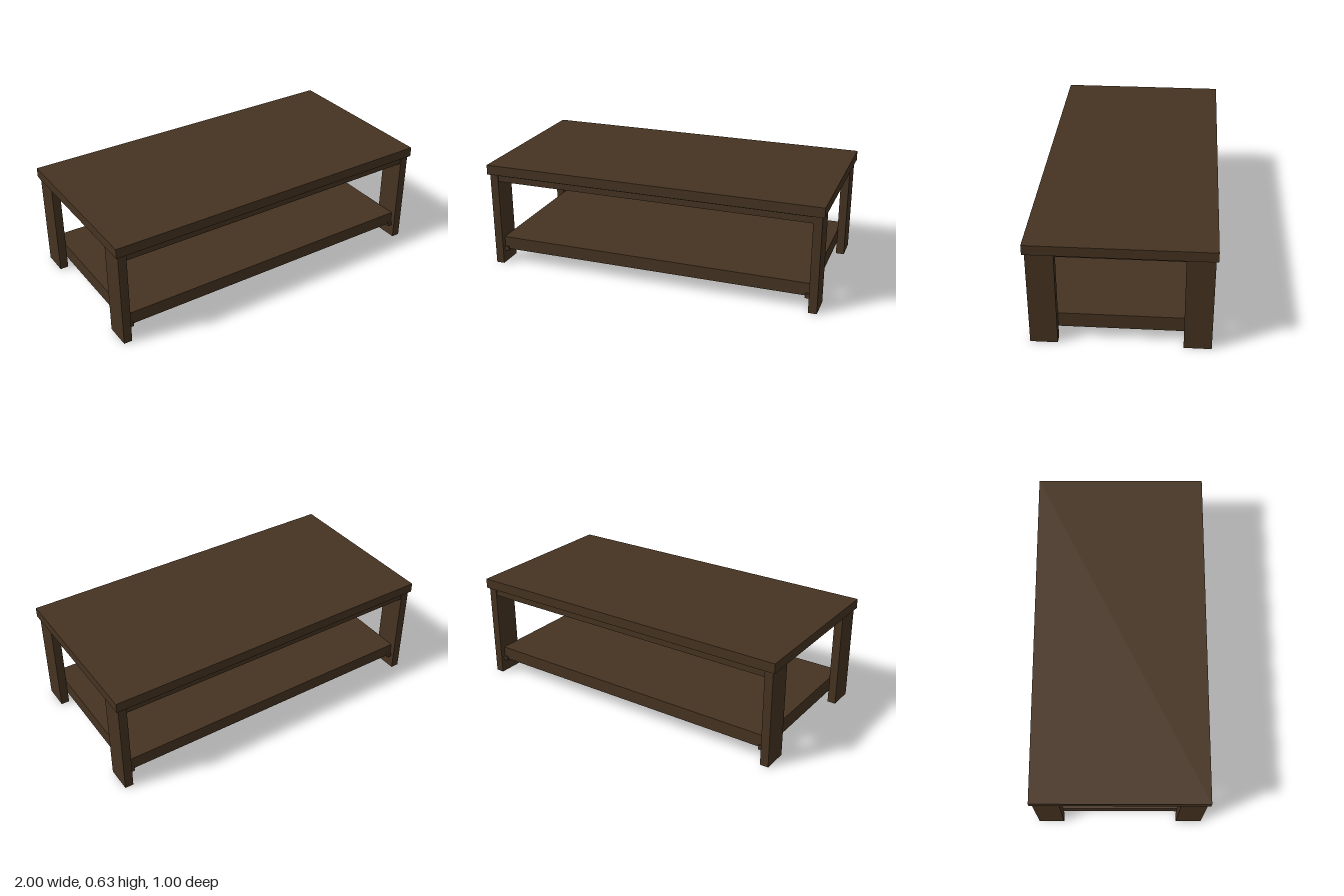
import * as THREE from 'three';

export function createModel() {
  const table = new THREE.Group();
  table.name = 'coffeeTable';
  const darkWood = new THREE.MeshStandardMaterial({ color: 0x453321 });
  darkWood.name = 'darkWood';

  // Box given by its minimum and maximum corners
  function board(name, min, max) {
    const size = max.map((v, i) => v - min[i]);
    const mesh = new THREE.Mesh(new THREE.BoxGeometry(...size), darkWood);
    mesh.position.set(...max.map((v, i) => (v + min[i]) / 2));
    mesh.name = name;
    table.add(mesh);
  }

  // Same board mirrored across x = 0
  function mirroredPair(name, min, max) {
    board(name, min, max);
    board(name, [-max[0], min[1], min[2]], [-min[0], max[1], max[2]]);
  }

  // Thick top with a thin stepped lip beneath it
  board('tableTop', [-1, 0.57, -0.5], [1, 0.627, 0.5]);
  board('topLip', [-0.99, 0.566, -0.493], [0.99, 0.57, 0.493]);

  // Solid panel between the legs, under the top
  board('underPanel', [-0.942, 0.526, -0.482], [0.942, 0.566, 0.482]);

  // Four flat legs, broad side outwards
  mirroredPair('frontLeg', [0.938, 0, 0.338], [0.987, 0.566, 0.488]);
  mirroredPair('backLeg', [0.938, 0, -0.488], [0.987, 0.566, -0.338]);

  // Lower shelf carried on a cleat at each end
  board('shelf', [-0.94, 0.087, -0.458], [0.94, 0.163, 0.458]);
  mirroredPair('shelfCleat', [0.912, 0.076, -0.468], [0.94, 0.103, 0.468]);

  return table;
}
